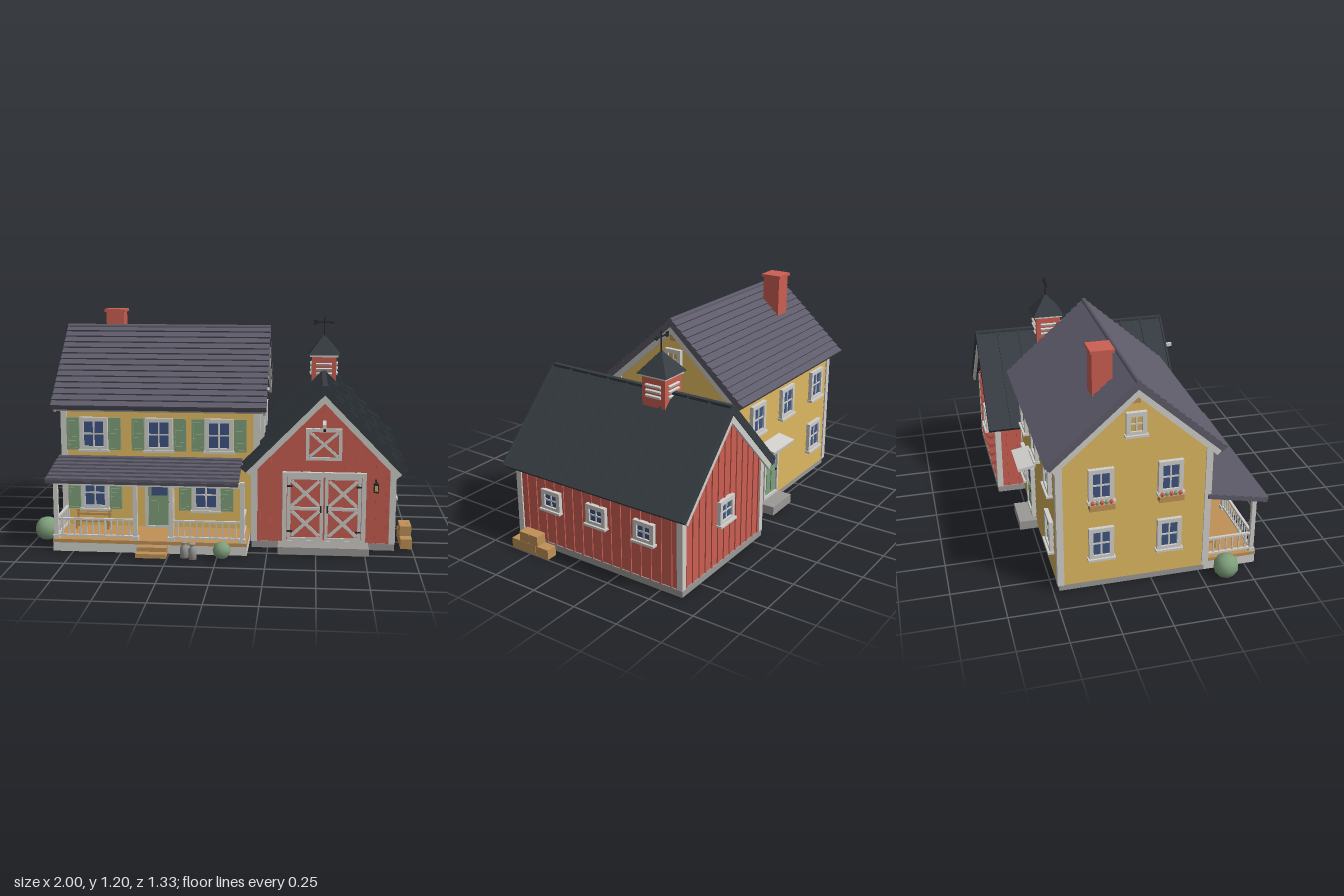
import * as THREE from 'three';

const mat = (name, color, side = THREE.FrontSide) => {
  const m = new THREE.MeshStandardMaterial({ color, side });
  m.name = name;
  return m;
};

export function createModel() {
  const root = new THREE.Group();
  root.name = 'farmstead';
  const red = mat('barn red', 0xcb5f52), yellow = mat('clapboard yellow', 0xd0ad5a);
  const white = mat('trim', 0xd0cfcb), slate = mat('shingle slate', 0x5d5b69);
  const metal = mat('dark metal roof', 0x363c42), green = mat('green', 0x7fa07c);
  const glass = mat('glass blue', 0x3e5482), wood = mat('wood', 0xbf9157);
  const stone = mat('stone', 0x9b9996), iron = mat('iron', 0x26282b);

  const add = (parent, name, geo, m, x = 0, y = 0, z = 0) => {
    const mesh = new THREE.Mesh(geo, m);
    mesh.name = name;
    mesh.position.set(x, y, z);
    parent.add(mesh);
    return mesh;
  };
  const box = (p, name, m, w, h, d, x, y, z) => add(p, name, new THREE.BoxGeometry(w, h, d), m, x, y, z);
  const group = (p, name, x = 0, y = 0, z = 0, ry = 0) => {
    const g = new THREE.Group();
    g.name = name;
    g.position.set(x, y, z);
    g.rotation.y = ry;
    p.add(g);
    return g;
  };
  // Box whose top face has its own width and depth
  const frustum = (w0, d0, w1, d1, h) => {
    const geo = new THREE.BoxGeometry(w0, h, d0), a = geo.attributes.position;
    for (let i = 0; i < a.count; i++) if (a.getY(i) > 0) { a.setX(i, a.getX(i) * w1 / w0); a.setZ(i, a.getZ(i) * d1 / d0); }
    const flat = geo.toNonIndexed();
    flat.computeVertexNormals();
    return flat;
  };
  // Rectangular frame of four bars, facing +z
  const frame = (g, m, w, h, t, d) => {
    for (const s of [-1, 1]) {
      box(g, 'frame side', m, t, h, d, s * (w - t) / 2, 0, d / 2);
      box(g, 'frame rail', m, w - 2 * t, t, d, 0, s * (h - t) / 2, d / 2);
    }
  };
  const cross = (g, m, w, h, t, x, y, z) => {
    for (const s of [-1, 1])
      box(g, 'cross brace', m, Math.hypot(w, h) - t, t, 0.012, x, y, z + s * 0.0005).rotation.z = s * Math.atan2(h, w);
  };
  const pane = (p, x, y, z, ry, w, h, o = {}) => {
    const g = group(p, 'window', x, y, z, ry);
    frame(g, white, w, h, 0.022, 0.022);
    box(g, 'window glass', o.glass || glass, w - 0.04, h - 0.04, 0.009, 0, 0, 0.007);
    box(g, 'muntin', white, 0.008, h - 0.04, 0.014, 0, 0, 0.009);
    box(g, 'muntin', white, w - 0.04, 0.008, 0.014, 0, 0, 0.009);
    box(g, 'sill', white, w + 0.014, 0.012, 0.034, 0, -h / 2, 0.016);
    if (o.shutters) for (const s of [-1, 1]) {
      const sh = group(g, 'shutter', s * (w / 2 + 0.037), 0, 0);
      box(sh, 'shutter panel', green, 0.066, h - 0.005, 0.012, 0, 0, 0.008);
      frame(sh, green, 0.066, h - 0.005, 0.009, 0.02);
      for (let i = -3; i <= 3; i++) box(sh, 'shutter slat', green, 0.05, 0.008, 0.008, 0, i * h / 8, 0.014);
    }
    if (o.flowers) {
      box(g, 'flower box', wood, w, 0.03, 0.035, 0, -h / 2 - 0.022, 0.026);
      for (let i = -2; i <= 2; i++) add(g, 'flower', new THREE.IcosahedronGeometry(0.013, 0), i % 2 ? green : red, i * w / 5.5, -h / 2 + 0.002, 0.032);
    }
  };
  // One roof plane falling from the ridge at the group origin towards s * z
  const slope = (p, name, m, s, angle, L, W, t) => {
    const g = group(p, name);
    g.rotation.x = s * angle;
    box(g, 'roof slab', m, W, t, L, 0, -t / 2, s * L / 2);
    return g;
  };
  const shingles = (g, s, L, W, n) => {
    for (let i = 0; i < n; i++)
      box(g, 'shingle course', slate, W, 0.012, L / n + 0.004, 0, 0.003, s * (i + 0.5) * L / n).rotation.x = -s * 0.2;
  };
  const rakes = (g, s, L, W, t) => {
    for (const e of [-1, 1]) box(g, 'rake board', white, 0.014, 0.032, L - 0.012, e * (W / 2 - 0.012), -t - 0.014, s * L / 2);
  };

  // House walls: stepped clapboards with a tapering gable
  const HX = -0.3325, HZ = -0.09, HW = 1.045, HD = 0.76;
  const house = group(root, 'house', HX, 0, HZ);
  box(house, 'house foundation', stone, HW, 0.04, HD, 0, 0.02, 0);
  const h = 0.0389, half = y => Math.min(HD / 2, Math.max(0.002, (1.073 - y) / 0.886));
  for (let i = 0; i < 27; i++) {
    const y = 0.035 + i * h;
    if (y + h > 1.075) break;
    const lip = y < 0.7 ? 0.012 : 0;
    add(house, 'clapboard', frustum(HW + 0.012, 2 * half(y) + lip, HW, 2 * half(y + h), h), yellow, 0, y + h / 2, 0);
  }
  for (const sx of [-1, 1]) for (const sz of [-1, 1])
    box(house, 'corner board', white, 0.034, 0.7, 0.034, sx * (HW / 2 - 0.007), 0.385, sz * (HD / 2 - 0.007));

  // House roof
  const houseRoof = group(root, 'house roof', -0.335, 1.11, HZ);
  for (const s of [-1, 1]) {
    const g = slope(houseRoof, 'shingled slope', slate, s, 0.725, 0.585, 1.14, 0.024);
    shingles(g, s, 0.585, 1.14, 14);
    rakes(g, s, 0.585, 1.14, 0.024);
    box(g, 'eave board', white, 1.1, 0.022, 0.012, 0, -0.034, s * 0.572);
  }
  add(houseRoof, 'ridge cap', new THREE.CylinderGeometry(0.014, 0.014, 1.142, 8).rotateZ(Math.PI / 2), slate, 0, 0.001, 0);
  box(root, 'chimney', red, 0.1, 0.3, 0.1, -0.652, 1.04, -0.212);
  box(root, 'chimney cap', red, 0.12, 0.016, 0.12, -0.652, 1.195, -0.212);

  // House windows
  const zf = HZ + HD / 2 + 0.003, zb = HZ - HD / 2 - 0.003;
  for (const x of [-0.685, -0.335, -0.015]) {
    pane(root, x, 0.573, zf, 0, 0.15, 0.178, { shutters: true });
    pane(root, x, 0.573, zb, Math.PI, 0.14, 0.175);
  }
  for (const x of [-0.685, -0.085]) pane(root, x, 0.25, zf, 0, 0.15, 0.18, { shutters: true });
  for (const x of [-0.685, 0.04]) pane(root, x, 0.25, zb, Math.PI, 0.14, 0.175);
  for (const s of [-1, 1]) {
    const x = HX + s * (HW / 2 + 0.003), ry = s * Math.PI / 2;
    for (const z of [-0.26, 0.085]) {
      pane(root, x, 0.585, z, ry, 0.125, 0.175, { flowers: s < 0 });
      if (s < 0) pane(root, x, 0.26, z, ry, 0.125, 0.175);
    }
    pane(root, x, 0.89, HZ, ry, 0.1, 0.12, { glass: yellow });
    const vent = group(root, 'gable vent', x, 1.015, HZ, ry);
    box(vent, 'vent', wood, 0.038, 0.038, 0.02, 0, 0, 0.005);
  }

  // House doors
  const houseDoor = (x, z, ry) => {
    const g = group(root, 'house door', x, 0.207, z, ry);
    frame(g, white, 0.155, 0.295, 0.016, 0.024);
    box(g, 'door leaf', green, 0.127, 0.27, 0.014, 0, 0, 0.007);
    box(g, 'door glass', glass, 0.085, 0.08, 0.006, 0, 0.075, 0.015);
    for (const s of [-1, 1]) box(g, 'door panel', green, 0.042, 0.12, 0.006, s * 0.026, -0.055, 0.016);
    add(g, 'door knob', new THREE.SphereGeometry(0.007, 8, 6), iron, 0.052, 0, 0.02);
  };
  houseDoor(-0.335, zf, 0);
  houseDoor(-0.165, zb, Math.PI);
  box(root, 'back stoop', stone, 0.2, 0.05, 0.1, -0.165, 0.025, -0.52);
  box(root, 'back door canopy', white, 0.225, 0.016, 0.11, -0.165, 0.385, -0.515).rotation.x = -0.18;

  // Porch deck, steps, posts and railings
  const porch = group(root, 'porch');
  const px = -0.3525, pw = 1.005;
  box(porch, 'deck', wood, pw, 0.018, 0.275, px, 0.056, 0.4225);
  box(porch, 'deck skirt', white, pw, 0.047, 0.016, px, 0.0235, 0.548);
  for (const s of [-1, 1]) box(porch, 'deck skirt', white, 0.016, 0.047, 0.26, px + s * (pw / 2 - 0.008), 0.0235, 0.41);
  box(porch, 'lower step', wood, 0.155, 0.022, 0.085, -0.333, 0.011, 0.597);
  box(porch, 'upper step', wood, 0.155, 0.022, 0.045, -0.333, 0.033, 0.577);
  const posts = [-0.838, -0.425, -0.24, 0.125];
  for (const x of posts) {
    box(porch, 'porch post', white, 0.022, 0.315, 0.022, x, 0.222, 0.54);
    box(porch, 'post base', white, 0.032, 0.02, 0.032, x, 0.075, 0.54);
  }
  box(porch, 'porch beam', white, 0.98, 0.024, 0.024, -0.357, 0.362, 0.54);
  const railing = (x0, z0, x1, z1) => {
    const L = Math.hypot(x1 - x0, z1 - z0);
    const g = group(porch, 'railing', (x0 + x1) / 2, 0, (z0 + z1) / 2, x0 === x1 ? Math.PI / 2 : 0);
    for (const y of [0.082, 0.17]) box(g, 'rail', white, L, 0.01, 0.014, 0, y, 0);
    const n = Math.round(L / 0.033);
    for (let i = 1; i < n; i++) box(g, 'baluster', white, 0.007, 0.085, 0.007, -L / 2 + i * L / n, 0.126, 0);
  };
  railing(posts[0], 0.54, posts[1], 0.54);
  railing(posts[2], 0.54, posts[3], 0.54);
  for (const x of [posts[0], posts[3]]) railing(x, 0.3, x, 0.54);

  // Porch roof
  const porchRoof = group(root, 'porch roof', -0.385, 0.447, 0.285);
  const pr = slope(porchRoof, 'porch slope', slate, 1, 0.2, 0.318, 0.985, 0.016);
  shingles(pr, 1, 0.318, 0.985, 7);

  // Porch bench
  const bench = group(porch, 'bench', -0.69, 0.065, 0.345);
  box(bench, 'bench seat', wood, 0.19, 0.01, 0.055, 0, 0.045, 0);
  for (const y of [0.07, 0.09]) box(bench, 'bench back slat', wood, 0.19, 0.012, 0.008, 0, y, -0.026);
  for (const x of [-0.085, 0.085]) for (const z of [-0.024, 0.022])
    box(bench, 'bench leg', wood, 0.01, z < 0 ? 0.095 : 0.045, 0.01, x, z < 0 ? 0.0475 : 0.0225, z);

  // Barn body with vertical battens
  const BX = 0.535, BW = 0.73, ZF = 0.4, ZB = -0.62, BZ = (ZF + ZB) / 2, BD = ZF - ZB;
  const barn = group(root, 'barn');
  box(barn, 'barn foundation', stone, BW + 0.012, 0.035, BD + 0.012, BX, 0.0175, BZ);
  const gable = new THREE.Shape([[-0.365, 0.035], [0.365, 0.035], [0.365, 0.443], [0, 0.815], [-0.365, 0.443]].map(p => new THREE.Vector2(...p)));
  add(barn, 'barn walls', new THREE.ExtrudeGeometry(gable, { depth: BD, bevelEnabled: false }), red, BX, 0, ZB);
  for (let i = -6; i <= 6; i++) {
    const x = i * 0.055, top = 0.805 - Math.abs(x) * 1.02;
    for (const z of [ZF, ZB]) box(barn, 'batten', red, 0.01, top - 0.035, 0.012, BX + x, (top + 0.035) / 2, z);
  }
  for (let i = 1; i < 17; i++) for (const s of [-1, 1])
    box(barn, 'batten', red, 0.012, 0.4, 0.01, BX + s * BW / 2, 0.235, ZB + i * BD / 17);
  for (const s of [-1, 1]) for (const z of [ZF - 0.008, ZB + 0.008])
    box(barn, 'barn corner board', white, 0.032, 0.405, 0.032, BX + s * (BW / 2 - 0.008), 0.237, z);
  for (const z of [0.17, -0.12, -0.41]) pane(barn, BX + BW / 2, 0.287, z, Math.PI / 2, 0.12, 0.11);
  pane(barn, BX, 0.31, ZB, Math.PI, 0.13, 0.13);

  // Barn roof with standing seams
  const barnRoof = group(root, 'barn roof', BX, 0.857, -0.108, Math.PI / 2);
  for (const s of [-1, 1]) {
    const g = slope(barnRoof, 'metal slope', metal, s, 0.795, 0.6, 1.114, 0.028);
    for (let i = 0; i <= 9; i++) box(g, 'standing seam', metal, 0.01, 0.012, 0.6, -0.552 + i * 0.1227, 0.005, s * 0.3);
    rakes(g, s, 0.6, 1.114, 0.028);
  }
  box(barnRoof, 'barn ridge cap', metal, 1.114, 0.014, 0.026, 0, 0, 0);
  box(root, 'hoist beam', white, 0.018, 0.02, 0.14, BX, 0.67, 0.455);
  add(root, 'hoist pulley', new THREE.CylinderGeometry(0.012, 0.012, 0.012, 10).rotateZ(Math.PI / 2), iron, BX, 0.655, 0.513);

  // Barn doors and loft door
  const doors = group(root, 'barn doors', BX + 0.005, 0.218, ZF);
  box(doors, 'door backing', red, 0.42, 0.37, 0.016, 0, 0, 0.004);
  frame(doors, white, 0.43, 0.385, 0.022, 0.024);
  for (const s of [-1, 1]) {
    const d = group(doors, 'barn door leaf', s * 0.097, 0, 0.006);
    frame(d, white, 0.186, 0.345, 0.017, 0.016);
    box(d, 'middle rail', white, 0.16, 0.016, 0.016, 0, 0, 0.008);
    for (const y of [-0.08, 0.08]) cross(d, white, 0.155, 0.145, 0.016, 0, y, 0.008);
    box(d, 'door handle', iron, 0.008, 0.035, 0.012, -s * 0.08, 0, 0.022);
    for (const y of [-0.12, 0.12]) box(d, 'hinge', iron, 0.028, 0.008, 0.006, s * 0.08, y, 0.018);
  }
  const loft = group(root, 'loft door', BX, 0.557, ZF);
  box(loft, 'loft backing', red, 0.17, 0.15, 0.016, 0, 0, 0.004);
  frame(loft, white, 0.185, 0.165, 0.017, 0.02);
  cross(loft, white, 0.155, 0.135, 0.014, 0, 0, 0.013);
  box(root, 'barn ramp', stone, 0.465, 0.038, 0.115, 0.5375, 0.019, 0.4575);

  // Wall lantern
  const lamp = group(root, 'lantern', 0.803, 0.34, 0.44);
  box(lamp, 'lantern bracket', iron, 0.008, 0.008, 0.05, 0, 0.033, -0.02);
  box(lamp, 'lantern glass', yellow, 0.018, 0.034, 0.018, 0, 0, 0);
  for (const y of [-0.019, 0.019]) box(lamp, 'lantern cap', iron, 0.026, 0.007, 0.026, 0, y, 0);
  for (const sx of [-1, 1]) for (const sz of [-1, 1]) box(lamp, 'lantern bar', iron, 0.004, 0.036, 0.004, sx * 0.01, 0, sz * 0.01);
  add(lamp, 'lantern top', new THREE.ConeGeometry(0.014, 0.014, 4), iron, 0, 0.029, 0);

  // Cupola and weathervane
  const cupola = group(root, 'cupola', BX, 0, -0.25);
  box(cupola, 'cupola body', red, 0.138, 0.16, 0.138, 0, 0.866, 0);
  box(cupola, 'cupola trim', white, 0.158, 0.012, 0.158, 0, 0.945, 0);
  add(cupola, 'cupola roof', frustum(0.178, 0.178, 0.01, 0.01, 0.105), metal, 0, 1.003, 0);
  for (let k = 0; k < 4; k++) {
    const g = group(cupola, 'louvre', 0, 0.87, 0, k * Math.PI / 2);
    for (let i = -1; i <= 1; i++) box(g, 'louvre slat', white, 0.09, 0.013, 0.016, 0, i * 0.027, 0.07).rotation.x = 0.4;
  }
  add(cupola, 'vane pole', new THREE.CylinderGeometry(0.004, 0.004, 0.13, 6), iron, 0, 1.095, 0);
  box(cupola, 'vane arm', iron, 0.11, 0.007, 0.007, 0, 1.13, 0);
  add(cupola, 'vane point', new THREE.ConeGeometry(0.012, 0.024, 4).rotateZ(-Math.PI / 2), iron, 0.05, 1.13, 0);
  box(cupola, 'vane tail', iron, 0.022, 0.026, 0.004, -0.05, 1.13, 0);

  // Crates, milk cans and bushes
  const crates = group(root, 'crates');
  for (const [y, z] of [[0.027, 0.335], [0.027, 0.255], [0.027, 0.172], [0.081, 0.29], [0.081, 0.23]]) {
    box(crates, 'crate', wood, 0.06, 0.053, y > 0.05 ? 0.059 : 0.08, 0.97, y, z);
  }
  const can = [[0, 0], [0.021, 0], [0.021, 0.05], [0.012, 0.064], [0.012, 0.074], [0.016, 0.076], [0.016, 0.082], [0, 0.082]].map(p => new THREE.Vector2(...p));
  for (const [x, z] of [[-0.165, 0.605], [-0.12, 0.627]]) add(root, 'milk can', new THREE.LatheGeometry(can, 14), stone, x, 0, z);
  for (const [x, y, z, r] of [[-0.935, 0.064, 0.37, 0.065], [0.028, 0.048, 0.622, 0.046]])
    add(root, 'bush', new THREE.IcosahedronGeometry(r, 1), green, x, y, z);

  return root;
}
